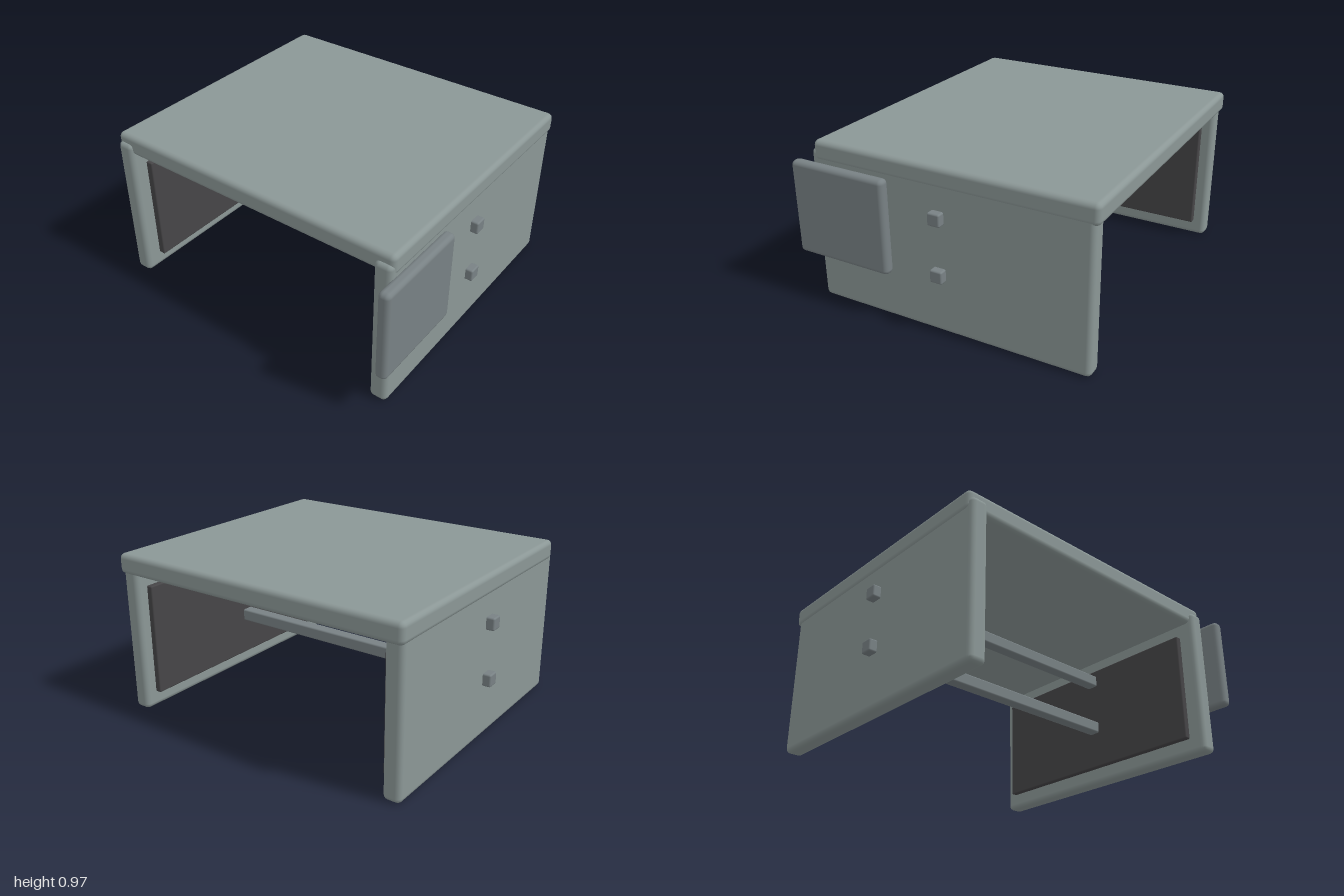
import * as THREE from 'three';
import { RoundedBoxGeometry } from 'three/addons/geometries/RoundedBoxGeometry.js';

const material = (color) => new THREE.MeshStandardMaterial({ color });

// Softly bevelled box spanning [min, max] on each axis
function slab(name, [x0, x1], [y0, y1], [z0, z1], bevel, mat) {
  const geometry = new RoundedBoxGeometry(x1 - x0, y1 - y0, z1 - z0, 2, bevel);
  const mesh = new THREE.Mesh(geometry, mat);
  mesh.name = name;
  mesh.position.set((x0 + x1) / 2, (y0 + y1) / 2, (z0 + z1) / 2);
  return mesh;
}

export function createModel() {
  const group = new THREE.Group();
  group.name = 'table';
  const body = material(0x8b9796);
  const trim = material(0x788184);
  const dark = material(0x464547);

  // Table top
  group.add(slab('tableTop', [-0.79, 0.91], [0.85, 0.97], [-0.96, 0.94], 0.03, body));

  // Upright end walls, each with a dark panel on its inner face
  const ends = [
    { side: 'front', wall: [0.83, 0.936], panel: [0.795, 0.84] },
    { side: 'back', wall: [-0.952, -0.845], panel: [-0.855, -0.805] },
  ];
  for (const { side, wall, panel } of ends) {
    group.add(slab(side + 'Wall', [-0.81, 0.89], [0, 0.92], wall, 0.03, body));
    group.add(slab(side + 'InnerPanel', [-0.71, 0.815], [0.095, 0.77], panel, 0.008, dark));
  }

  // Crossbars running through both walls
  for (const [name, y] of [['lowerCrossbar', 0.36], ['upperCrossbar', 0.693]]) {
    group.add(slab(name, [-0.03, 0.045], [y - 0.037, y + 0.037], [-1, 0.98], 0.01, trim));
  }

  // Plate fixed to the front wall, overhanging one side
  group.add(slab('sidePlate', [-0.915, -0.3], [0.285, 0.845], [0.925, 0.995], 0.027, trim));

  return group;
}
